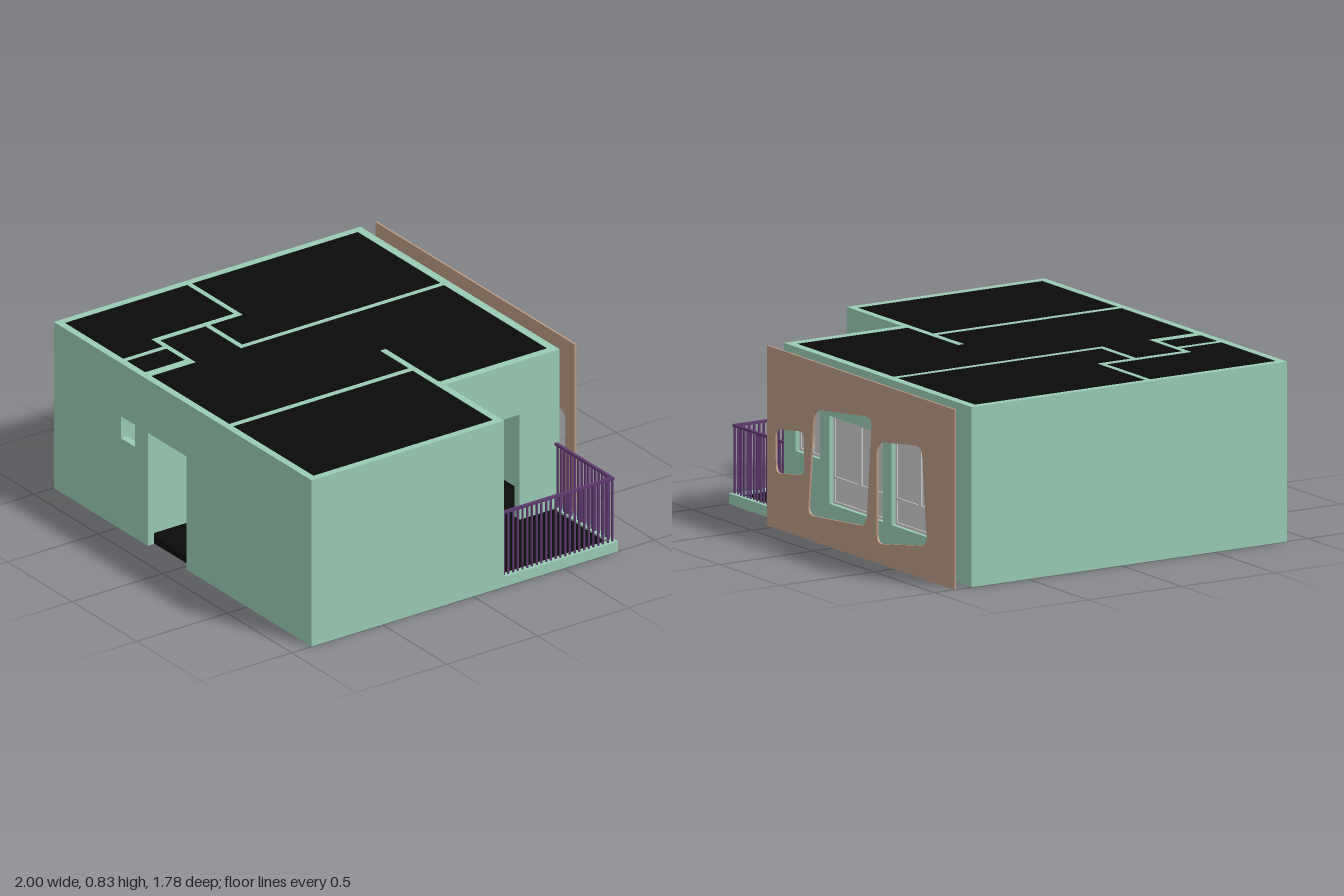
import * as THREE from 'three';

const material = (color) => new THREE.MeshStandardMaterial({ color, side: THREE.DoubleSide });
const H = 0.83;

export function createModel() {
  const model = new THREE.Group();
  const green = material(0x98cab4), black = material(0x0a0a0a), brown = material(0xb89a84);
  const purple = material(0x5f3a70), grey = material(0xcccccc);

  // Box given by its min and max corners
  function block(name, mat, [x0, y0, z0], [x1, y1, z1], parent = model) {
    const mesh = new THREE.Mesh(new THREE.BoxGeometry(x1 - x0, y1 - y0, z1 - z0), mat);
    mesh.position.set((x0 + x1) / 2, (y0 + y1) / 2, (z0 + z1) / 2);
    mesh.name = name;
    parent.add(mesh);
    return mesh;
  }

  // Wall from a to b along x or z, t0..t1 thick; openings are [from, to, bottom, top],
  // and those with bottom at the base become doorways
  function wall(name, axis, a, b, t0, t1, openings = [], base = 0) {
    const flip = axis === 'z' ? -1 : 1;
    const map = ([u0, u1, v0, v1]) => (flip < 0 ? [-u1, -u0, v0, v1] : [u0, u1, v0, v1]);
    const [s, e] = map([a, b, 0, 0]);
    const list = openings.map(map).sort((p, q) => p[0] - q[0]);
    const points = [[s, base]];
    for (const [u0, u1, v0, v1] of list) {
      if (v0 <= base) points.push([u0, base], [u0, v1], [u1, v1], [u1, base]);
    }
    points.push([e, base], [e, H], [s, H]);
    const shape = new THREE.Shape(points.map((p) => new THREE.Vector2(...p)));
    for (const [u0, u1, v0, v1] of list) {
      if (v0 <= base) continue;
      shape.holes.push(new THREE.Path([[u0, v0], [u0, v1], [u1, v1], [u1, v0]].map((p) => new THREE.Vector2(...p))));
    }
    const geometry = new THREE.ExtrudeGeometry(shape, { depth: t1 - t0, bevelEnabled: false });
    if (flip < 0) geometry.rotateY(Math.PI / 2).translate(t0, 0, 0);
    else geometry.translate(0, 0, t0);
    const mesh = new THREE.Mesh(geometry, green);
    mesh.name = name;
    model.add(mesh);
  }

  // Framed window facing -z, with a low fixed pane and a row of sashes above it
  function windowUnit(name, x0, x1, y0, y1, z, sashes, split) {
    const group = new THREE.Group();
    group.name = name;
    const f = 0.012, zf = z - 0.01, zb = z + 0.01;
    const bar = (a, b, c, d) => block('windowFrame', grey, [a, c, zf], [b, d, zb], group);
    bar(x0, x0 + f, y0, y1);
    bar(x1 - f, x1, y0, y1);
    bar(x0, x1, y0, y0 + f);
    bar(x0, x1, y1 - f, y1);
    if (split) bar(x0, x1, split - f / 2, split + f / 2);
    const low = split || y0;
    for (let i = 1; i < sashes; i++) {
      const x = x0 + ((x1 - x0) * i) / sashes;
      bar(x - f, x + f, low, y1);
    }
    block('windowPane', grey, [x0 + f, y0 + f, z - 0.003], [x1 - f, y1 - f, z + 0.003], group);
    model.add(group);
  }

  // Outer walls
  const zB = -0.8, zF = 0.89;
  wall('frontWall', 'x', -1, 1, 0.855, zF, [[-0.27, 0.03, 0, 0.565], [-0.48, -0.37, 0.455, 0.565]]);
  wall('backWall', 'x', -1, 0.545, zB, -0.76,
    [[-0.74, -0.34, 0.16, 0.565], [-0.27, 0.17, 0.16, 0.565], [0.25, 0.45, 0.35, 0.565]]);
  wall('rightSideWall', 'z', -0.76, 0.855, -1, -0.965);
  wall('leftSideWall', 'z', -0.17, 0.855, 0.965, 1);
  wall('balconyRoomWall', 'x', 0.5, 0.965, -0.17, -0.135, [[0.58, 0.92, 0.16, 0.565]]);
  wall('balconyDoorWall', 'z', -0.76, -0.17, 0.505, 0.545, [[-0.58, -0.36, 0.04, 0.565]]);

  // Interior partitions: axis, from, to, thickness range, openings
  const doorTop = 0.565, base = 0.03;
  [
    ['z', -0.76, 0.36, -0.32, -0.295],
    ['x', -0.57, -0.32, 0.335, 0.36, [[-0.53, -0.36, base, doorTop]]],
    ['x', -0.965, -0.57, 0.155, 0.18],
    ['z', 0.18, 0.635, -0.6, -0.57, [[0.39, 0.57, base, doorTop]]],
    ['x', -0.57, -0.295, 0.61, 0.635],
    ['z', 0.635, 0.855, -0.51, -0.485],
    ['z', 0.635, 0.855, -0.34, -0.295],
    ['z', -0.135, 0.855, 0.312, 0.34, [[-0.08, 0.12, base, doorTop]]],
    ['x', 0.09, 0.505, -0.165, -0.135],
  ].forEach(([axis, a, b, t0, t1, holes]) => wall('partition', axis, a, b, t0, t1, holes, base));

  // Floor and ceiling slabs
  block('floor', black, [-0.966, 0.003, -0.765], [0.966, 0.04, 0.856]);
  const yc = [H - 0.008, H - 0.002];
  block('ceilingMain', black, [-0.966, yc[0], -0.761], [0.506, yc[1], 0.856]);
  block('ceilingSide', black, [0.506, yc[0], -0.136], [0.966, yc[1], 0.856]);

  // Windows
  windowUnit('bedroomWindow', -0.74, -0.34, 0.16, 0.565, -0.77, 2, 0.28);
  windowUnit('livingRoomWindow', -0.27, 0.17, 0.16, 0.565, -0.77, 2, 0.28);
  windowUnit('kitchenWindow', 0.25, 0.45, 0.35, 0.565, -0.77, 2);
  windowUnit('balconyWindow', 0.58, 0.92, 0.16, 0.565, -0.15, 2, 0.28);

  // Balcony curb
  block('balconyCurbBack', green, [0.545, 0, zB], [1, 0.05, -0.765]);
  block('balconyCurbSide', green, [0.965, 0, -0.765], [1, 0.05, -0.17]);

  // Balcony railing
  const railing = new THREE.Group();
  railing.name = 'railing';
  model.add(railing);
  const w = 0.004, xr = 0.983, zr = -0.78, top = 0.365;
  const baluster = (x, z) => block('baluster', purple, [x - w, 0.05, z - w], [x + w, top, z + w], railing);
  for (let i = 0; i <= 23; i++) baluster(xr, zr + (i * 0.6) / 23);
  for (let i = 1; i <= 16; i++) baluster(xr - (i * 0.425) / 16, zr);
  block('handrailBack', purple, [0.545, top - 0.008, zr - 0.007], [xr + 0.007, top + 0.004, zr + 0.007], railing);
  block('handrailSide', purple, [xr - 0.007, top - 0.008, zr + 0.007], [xr + 0.007, top + 0.004, -0.17], railing);

  // Facade screen with slanted, round-cornered cut-outs
  const screen = new THREE.Shape([[-1, 0], [0.545, 0], [0.545, H], [-1, H]].map((p) => new THREE.Vector2(...p)));
  function cutout(corners, r) {
    const pts = corners.map((p) => new THREE.Vector2(...p));
    const path = new THREE.Path();
    pts.forEach((p, i) => {
      const before = pts[(i + 3) % 4], after = pts[(i + 1) % 4];
      const a = before.clone().sub(p).setLength(r).add(p);
      const b = after.clone().sub(p).setLength(r).add(p);
      if (i) path.lineTo(a.x, a.y);
      else path.moveTo(a.x, a.y);
      path.quadraticCurveTo(p.x, p.y, b.x, b.y);
    });
    path.closePath();
    screen.holes.push(path);
  }
  cutout([[0.475, 0.46], [0.24, 0.49], [0.235, 0.29], [0.47, 0.255]], 0.04);
  cutout([[0.157, 0.61], [-0.32, 0.665], [-0.275, 0.152], [0.207, 0.112]], 0.05);
  cutout([[-0.36, 0.56], [-0.73, 0.61], [-0.775, 0.158], [-0.36, 0.088]], 0.05);
  const facade = new THREE.Mesh(
    new THREE.ExtrudeGeometry(screen, { depth: 0.01, bevelEnabled: false, curveSegments: 6 }), brown);
  facade.position.z = -0.893;
  facade.name = 'facadeScreen';
  model.add(facade);

  return model;
}
